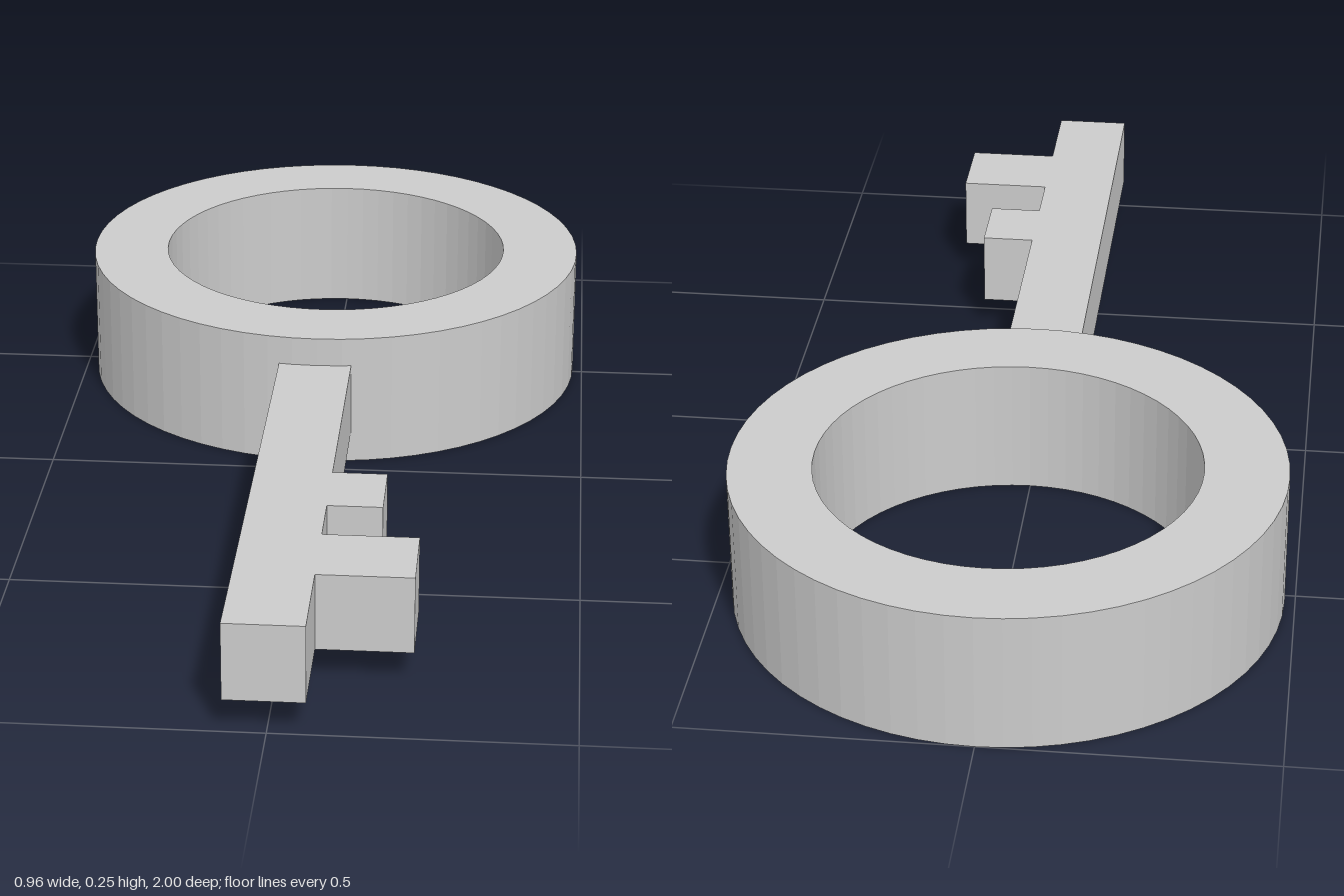
import * as THREE from 'three';

const material = new THREE.MeshStandardMaterial({ color: 0xcccccc, flatShading: true });

// Extrudes a plan outline (shape y = -z) upward from the given height.
function slab(name, shape, bottom, height) {
  const geometry = new THREE.ExtrudeGeometry(shape, { depth: height, bevelEnabled: false, curveSegments: 32 });
  geometry.rotateX(-Math.PI / 2);
  const mesh = new THREE.Mesh(geometry, material);
  mesh.name = name;
  mesh.position.y = bottom;
  return mesh;
}

export function createModel() {
  const group = new THREE.Group();
  group.name = 'key';

  // Bow: a thick 32-sided ring
  const ring = new THREE.Shape().absarc(0, 0, 0.482, 0, Math.PI * 2);
  ring.holes.push(new THREE.Path().absarc(0, 0, 0.336, 0, Math.PI * 2, true));
  const bow = slab('bow', ring, 0, 0.25);
  bow.position.z = -0.518;
  group.add(bow);

  // Shaft and its two teeth, as one stepped outline of [x, z] corners
  const left = -0.072, right = 0.064;
  const outline = [[left, -0.042], [left, 1], [right, 1]];
  for (const [reach, back, front] of [[0.228, 0.672, 0.82], [0.16, 0.429, 0.562]]) {
    outline.push([right, front], [reach, front], [reach, back], [right, back]);
  }
  outline.push([right, -0.042]);
  const blade = new THREE.Shape(outline.map(([x, z]) => new THREE.Vector2(x, -z)));
  group.add(slab('shaftAndTeeth', blade, 0.058, 0.138));

  return group;
}
